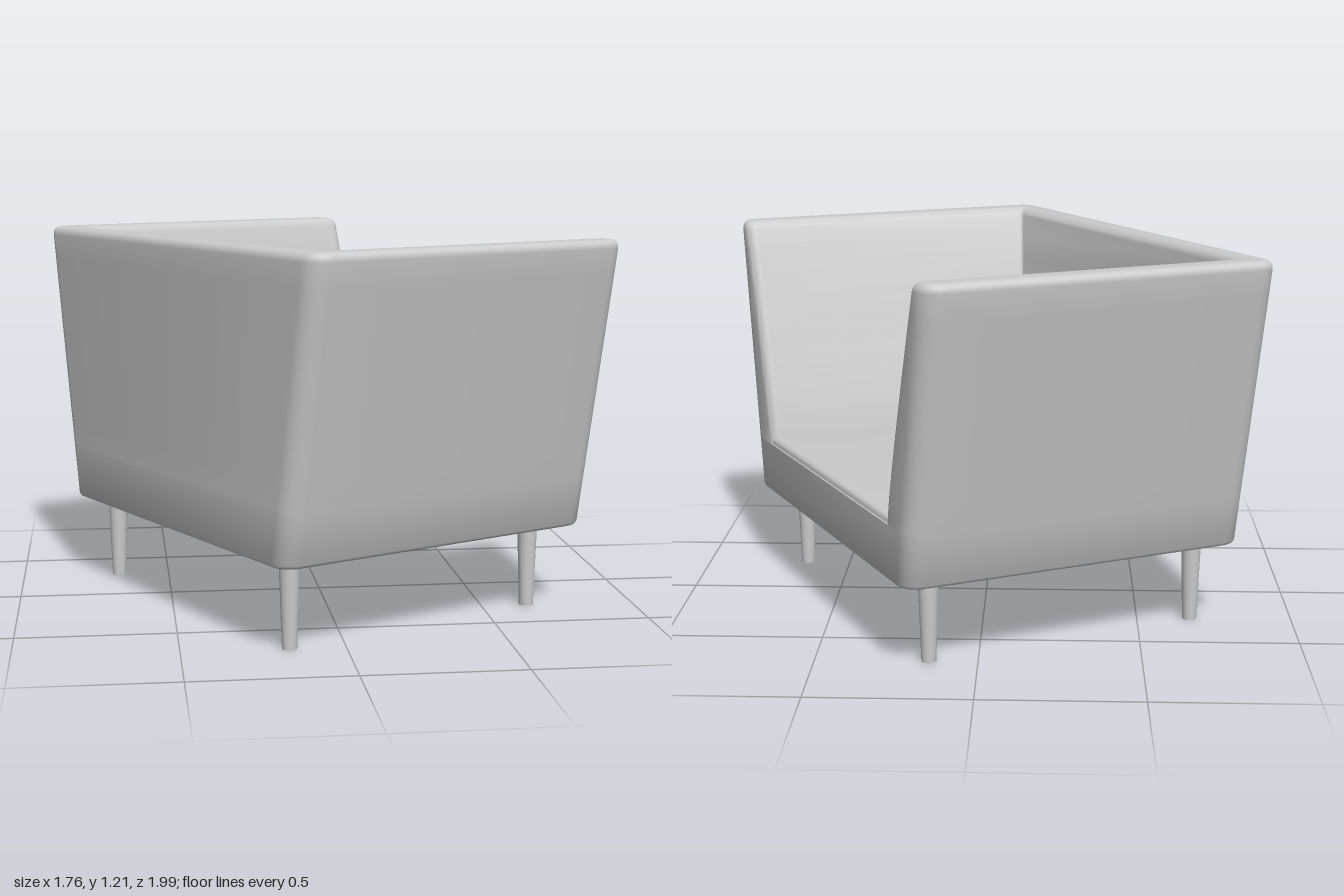
import * as THREE from 'three';
import { toCreasedNormals } from 'three/addons/utils/BufferGeometryUtils.js';

const BOTTOM = 0.275, SEAT = 0.45, TOP = 1.205, DEPTH = 0.58;
const lerp = THREE.MathUtils.lerp;

// Half width of the flared outside, and half width / back plane of the inside
const outerHalf = y => lerp(0.68, 0.85, (y - BOTTOM) / (TOP - BOTTOM));
const slope = y => Math.max(0, (y - 0.46) / (TOP - 0.46)) ** 1.12;
const innerHalf = y => lerp(0.525, 0.74, slope(y));
const innerBack = y => lerp(-0.39, -0.49, slope(y));

// Round the right-angled corners [z, x, radius] of a plan outline
function roundedOutline(corners, steps = 6) {
  const pts = [], n = corners.length;
  corners.forEach(([z, x, r], i) => {
    const p = new THREE.Vector2(z, x);
    const [pz, px] = corners[(i + n - 1) % n], [nz, nx] = corners[(i + 1) % n];
    const d0 = new THREE.Vector2(pz, px).sub(p).normalize();
    const d1 = new THREE.Vector2(nz, nx).sub(p).normalize();
    const centre = p.clone().addScaledVector(d0, r).addScaledVector(d1, r);
    for (let k = 0; k <= steps; k++) {
      const a = (k / steps) * Math.PI / 2;
      pts.push(centre.clone().addScaledVector(d1, -r * Math.cos(a)).addScaledVector(d0, -r * Math.sin(a)));
    }
  });
  return pts;
}

// Join plan outlines at rising heights and cap both ends
function loft(levels, outlineAt) {
  const rings = levels.map(([y, inset]) => ({ y, pts: roundedOutline(outlineAt(y, inset)) }));
  const pos = [];
  const put = (ring, i) => pos.push(ring.pts[i].y, ring.y, ring.pts[i].x);
  for (let l = 0; l < rings.length - 1; l++) {
    const a = rings[l], b = rings[l + 1], n = a.pts.length;
    for (let i = 0; i < n; i++) {
      const j = (i + 1) % n;
      put(a, i); put(a, j); put(b, j);
      put(a, i); put(b, j); put(b, i);
    }
  }
  const first = rings[0], last = rings[rings.length - 1];
  for (const [i, j, k] of THREE.ShapeUtils.triangulateShape(last.pts, [])) {
    put(last, i); put(last, j); put(last, k);
  }
  for (const [i, j, k] of THREE.ShapeUtils.triangulateShape(first.pts, [])) {
    put(first, i); put(first, k); put(first, j);
  }
  const geo = new THREE.BufferGeometry();
  geo.setAttribute('position', new THREE.Float32BufferAttribute(pos, 3));
  return toCreasedNormals(geo, 0.6);
}

// Levels of a rounded top edge
function roundTop(y, r, steps = 5) {
  return Array.from({ length: steps + 1 }, (_, i) => {
    const a = (i / steps) * Math.PI / 2;
    return [y - r + r * Math.sin(a), r * (1 - Math.cos(a))];
  });
}

const rectangle = (half, back, front, r) => [
  [-half, back, r], [half, back, r], [half, front, r], [-half, front, r]];

export function createModel() {
  const model = new THREE.Group();
  model.name = 'armchair';
  const material = new THREE.MeshStandardMaterial({ color: 0xcccccc });
  const add = (name, geo) => {
    const mesh = new THREE.Mesh(geo, material);
    mesh.name = name;
    model.add(mesh);
    return mesh;
  };

  // Base block below the seat (the front faces local +x)
  add('base', loft([[BOTTOM, 0.012], [BOTTOM + 0.004, 0.004], [BOTTOM + 0.012, 0], [SEAT, 0]],
    (y, e) => rectangle(outerHalf(y) - e, -DEPTH + e, DEPTH - e, 0.065 - e)));

  // Backrest and both arms as one U-shaped shell with a soft rim
  const wallLevels = Array.from({ length: 9 }, (_, i) => [lerp(SEAT, 1.1, i / 8), 0]);
  add('backAndArms', loft([...wallLevels, ...roundTop(TOP, 0.028)], (y, e) => {
    const o = outerHalf(y) - e, c = innerHalf(y) + e;
    const b = -DEPTH + e, f = DEPTH - e, d = innerBack(y) - e;
    const ro = 0.065 - e, rf = 0.034 - e, ri = 0.012 + e;
    return [[-o, b, ro], [o, b, ro], [o, f, ro], [c, f, rf],
      [c, d, ri], [-c, d, ri], [-c, f, rf], [-o, f, ro]];
  }));

  // Seat pad with a rounded front edge
  add('seat', loft([[SEAT - 0.02, 0], ...roundTop(0.474, 0.022)],
    (y, e) => rectangle(0.56 - e, -0.44 + e, 0.575 - e, 0.03)));

  // Four tapered legs
  for (const x of [-0.474, 0.448]) {
    for (const z of [-0.548, 0.552]) {
      const leg = add(x > 0 ? 'frontLeg' : 'backLeg', new THREE.CylinderGeometry(0.033, 0.023, 0.29, 24));
      leg.position.set(x, 0.145, z);
    }
  }

  // The chair stands turned on the floor
  model.rotation.y = THREE.MathUtils.degToRad(27);
  const root = new THREE.Group();
  root.name = 'turnedArmchair';
  root.add(model);
  return root;
}
